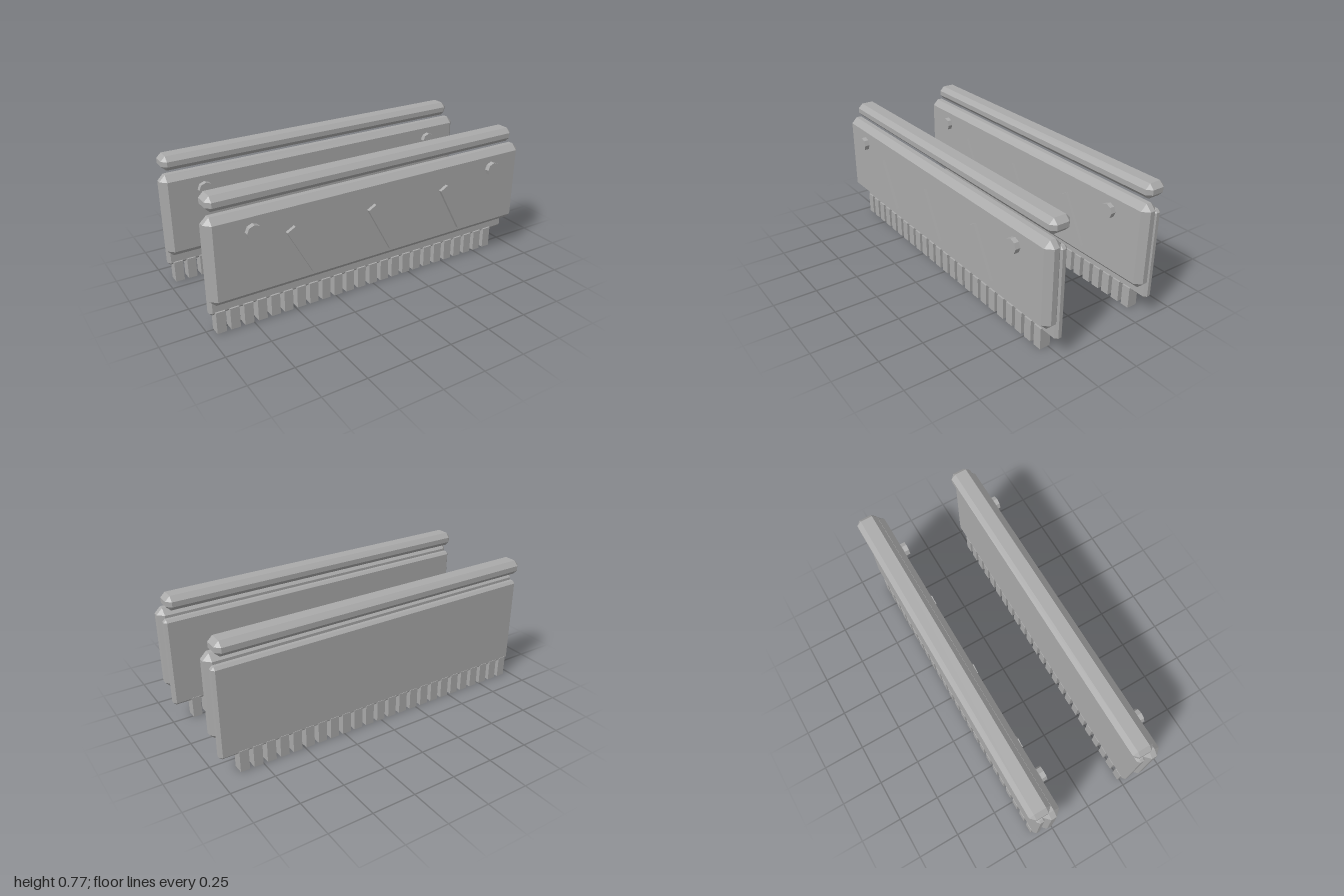
import * as THREE from 'three';
import { ConvexGeometry } from 'three/addons/geometries/ConvexGeometry.js';

const grey = new THREE.MeshStandardMaterial({ color: 0xaaaaaa });
grey.name = 'plain grey';

// Box with all edges cut at 45 degrees, given by its full size
function chamferedBox(w, h, d, c) {
  const x = w / 2, y = h / 2, z = d / 2;
  const points = [];
  for (const i of [-1, 1]) for (const j of [-1, 1]) for (const k of [-1, 1]) {
    points.push(
      new THREE.Vector3(i * x, j * (y - c), k * (z - c)),
      new THREE.Vector3(i * (x - c), j * y, k * (z - c)),
      new THREE.Vector3(i * (x - c), j * (y - c), k * z)
    );
  }
  return new ConvexGeometry(points);
}

function add(parent, name, geometry, x, y, z) {
  const mesh = new THREE.Mesh(geometry, grey);
  mesh.name = name;
  mesh.position.set(x, y, z);
  parent.add(mesh);
  return mesh;
}

function createModule() {
  const module = new THREE.Group();
  module.name = 'memoryModule';

  // Main slabs
  add(module, 'topBar', chamferedBox(1.94, 0.083, 0.124, 0.027), 0, 0.731, 0.268);
  add(module, 'heatSpreader', chamferedBox(2, 0.486, 0.098, 0.034), 0, 0.438, 0.324);
  add(module, 'circuitBoard', chamferedBox(1.97, 0.527, 0.05, 0.015), 0, 0.3685, 0.265);

  // Row of contact pins along the lower edge
  const pin = new THREE.BoxGeometry(0.052, 0.125, 0.063);
  for (let i = 0; i < 24; i++) {
    add(module, 'contactPin', pin, -0.931 + i * 0.0777, 0.0625, 0.2685);
  }

  // Slanted ribs on the spreader
  const rib = new THREE.BoxGeometry(0.053, 0.305, 0.022);
  for (const x of [-0.487, 0, 0.487]) {
    add(module, 'slantedRib', rib, x, 0.397, 0.382).rotation.z = 0.5;
  }

  // Eight-sided bolts in the upper corners
  const bolt = new THREE.CylinderGeometry(0.041, 0.041, 0.028, 8).toNonIndexed();
  bolt.rotateX(Math.PI / 2);
  bolt.computeVertexNormals();
  for (const x of [-0.765, 0.765]) add(module, 'bolt', bolt, x, 0.577, 0.394);

  return module;
}

export function createModel() {
  const model = new THREE.Group();
  model.name = 'memoryModulePair';
  const front = createModule();
  const back = front.clone();
  back.position.z = -0.612;
  model.add(front, back);
  return model;
}
